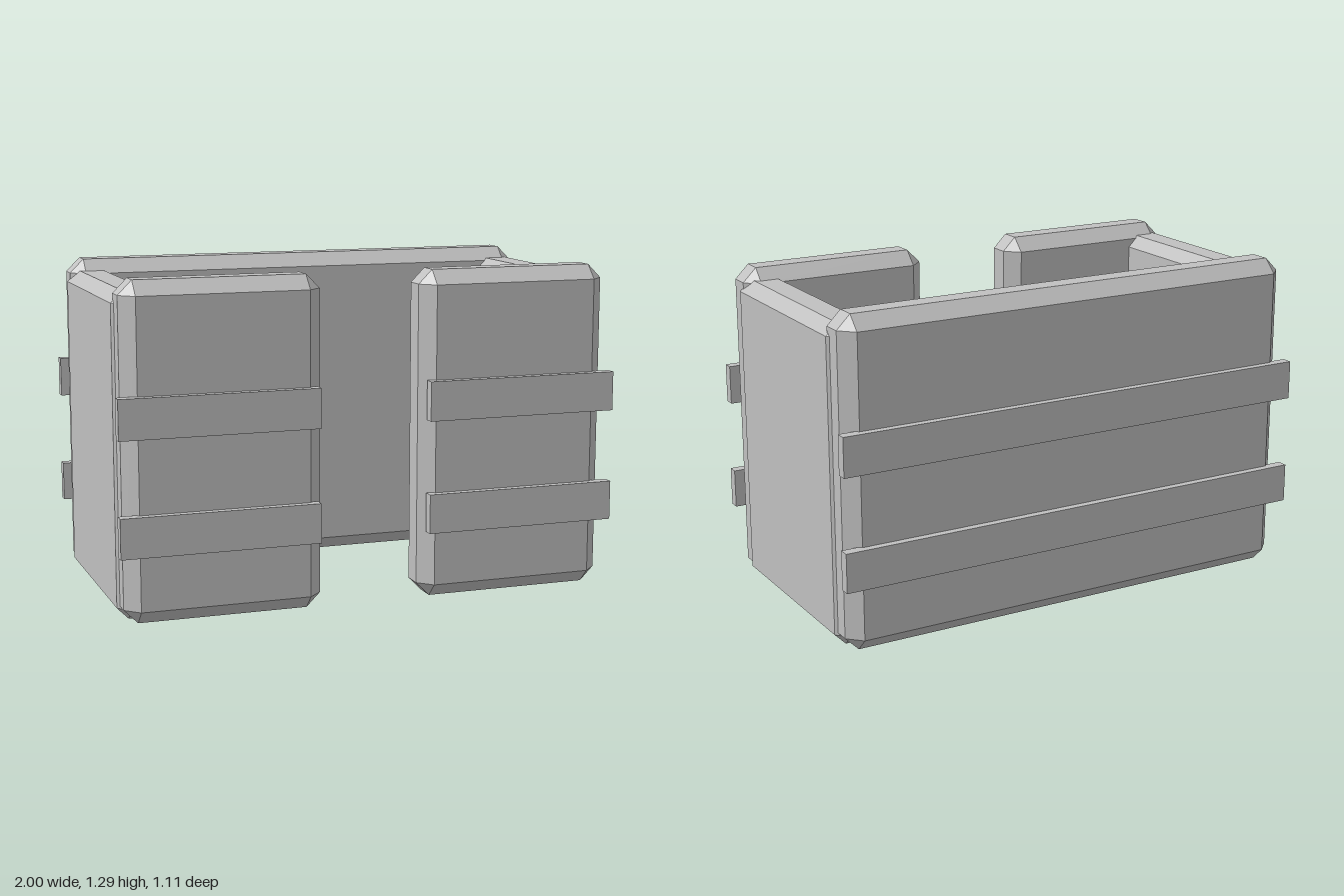
import * as THREE from 'three';
import { ConvexGeometry } from 'three/addons/geometries/ConvexGeometry.js';

// Box between two corners, with every edge and corner cut by a flat chamfer
function chamferedBox(min, max, c) {
  const points = [];
  for (let corner = 0; corner < 8; corner++) {
    for (let full = 0; full < 3; full++) {
      // only one axis reaches the outer face at each point
      const p = [0, 1, 2].map((axis) => {
        const inset = axis === full ? 0 : c;
        return (corner >> axis) & 1 ? max[axis] - inset : min[axis] + inset;
      });
      points.push(new THREE.Vector3(...p));
    }
  }
  return new ConvexGeometry(points);
}

// Plain box between two corners
function plainBox(min, max) {
  const size = max.map((v, i) => v - min[i]);
  const g = new THREE.BoxGeometry(...size);
  g.translate(...max.map((v, i) => (v + min[i]) / 2));
  return g;
}

export function createModel() {
  const model = new THREE.Group();
  model.name = 'shelter';

  const grey = new THREE.MeshStandardMaterial({ color: 0xc0c0c0 });
  grey.name = 'grey';

  const add = (name, geometry) => {
    const mesh = new THREE.Mesh(geometry, grey);
    mesh.name = name;
    model.add(mesh);
  };

  // Full-width back wall
  add('backWall', chamferedBox([-0.975, 0, -0.525], [0.975, 1.29, -0.335], 0.055));

  for (const [side, s] of [['left', 1], ['right', -1]]) {
    // x range mirrored to the chosen side
    const span = (a, b) => (s > 0 ? [a, b] : [-b, -a]);

    // Slightly lower side wall
    const [w0, w1] = span(0.8, 0.985);
    add(side + 'Wall', chamferedBox([w0, 0, -0.445], [w1, 1.245, 0.445], 0.045));

    // Front panel beside the doorway
    const [p0, p1] = span(0.2, 0.975);
    add(side + 'FrontPanel', chamferedBox([p0, 0, 0.335], [p1, 1.29, 0.525], 0.055));

    // Front rails
    const [r0, r1] = span(0.222, 1);
    for (const [level, y] of [['Lower', 0.27], ['Upper', 0.713]]) {
      add(side + level + 'FrontRail', plainBox([r0, y, 0.513], [r1, y + 0.155, 0.555]));
    }
  }

  // Back rails
  for (const [level, y] of [['lower', 0.27], ['upper', 0.713]]) {
    add(level + 'BackRail', plainBox([-1, y, -0.555], [1, y + 0.155, -0.513]));
  }

  return model;
}
